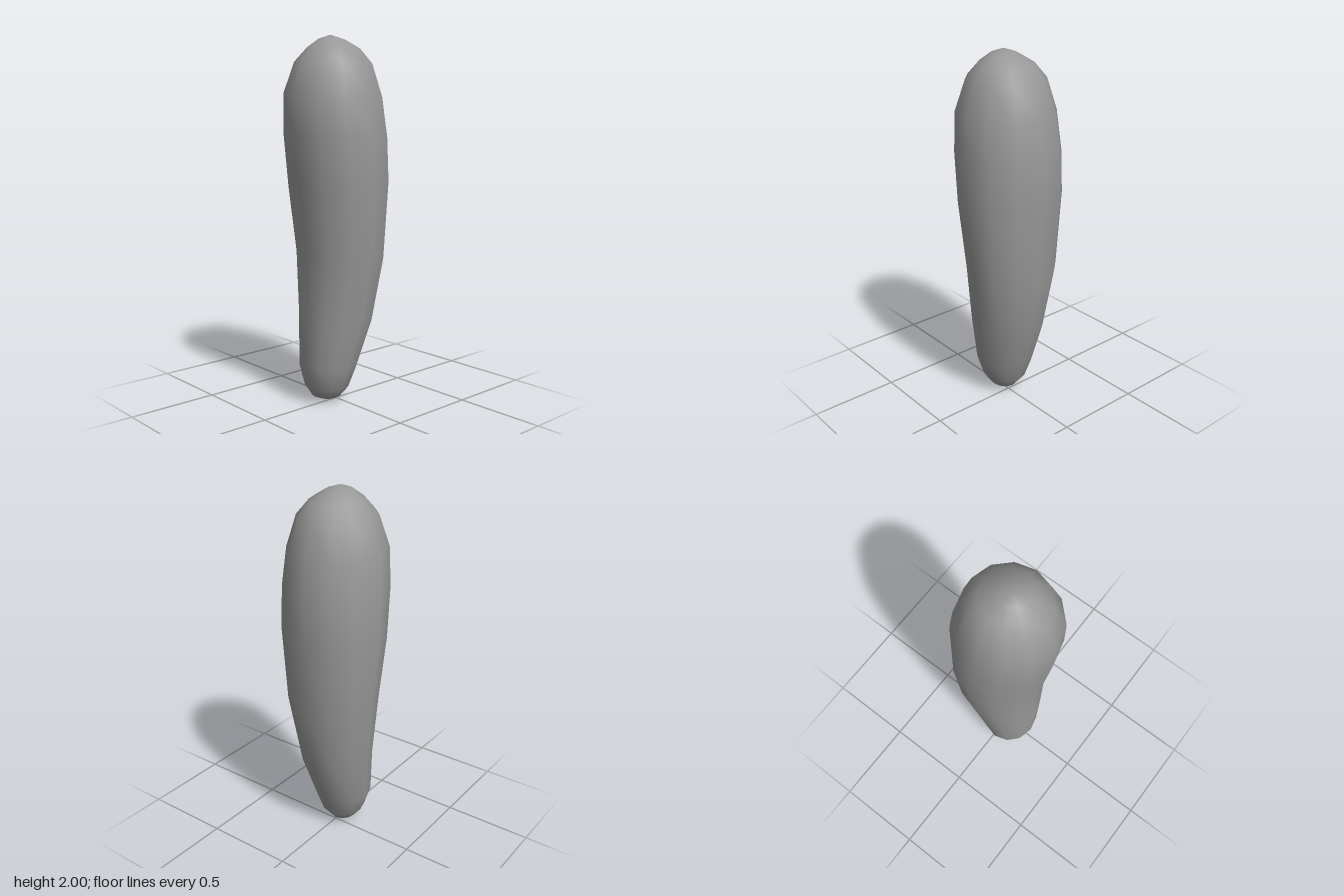
import * as THREE from 'three';

const SIDES = 12;

// Cross-sections, top to bottom: left x, left y, right x, right y, half depth, z centre
const RINGS = [
  [-0.10, 1.98, 0.04, 1.975, 0.07, 0],
  [-0.16, 1.935, 0.13, 1.925, 0.145, 0],
  [-0.23, 1.86, 0.20, 1.845, 0.21, 0],
  [-0.288, 1.70, 0.255, 1.67, 0.265, 0],
  [-0.285, 1.49, 0.285, 1.46, 0.285, 0],
  [-0.25, 1.20, 0.285, 1.24, 0.29, 0],
  [-0.205, 0.85, 0.26, 0.80, 0.258, 0],
  [-0.205, 0.50, 0.20, 0.46, 0.21, 0],
  [-0.205, 0.22, 0.11, 0.20, 0.168, -0.015],
  [-0.18, 0.10, 0.07, 0.085, 0.125, -0.015],
  [-0.14, 0.035, 0.02, 0.025, 0.075, -0.015],
];

// Smooth closed skin through the rings, with a point at each end
function loft(rings, top, bottom) {
  const pos = [...top];
  const index = [];
  for (const [xl, yl, xr, yr, depth, zc] of rings) {
    for (let i = 0; i < SIDES; i++) {
      const a = (i / SIDES) * Math.PI * 2;
      const t = (1 + Math.cos(a)) / 2;
      pos.push(xl + (xr - xl) * t, yl + (yr - yl) * t, zc + depth * Math.sin(a));
    }
  }
  pos.push(...bottom);
  const end = pos.length / 3 - 1;
  const at = (r, i) => 1 + r * SIDES + (i % SIDES);
  for (let i = 0; i < SIDES; i++) {
    index.push(0, at(0, i + 1), at(0, i));
    for (let r = 0; r < rings.length - 1; r++) {
      index.push(at(r, i), at(r, i + 1), at(r + 1, i));
      index.push(at(r, i + 1), at(r + 1, i + 1), at(r + 1, i));
    }
    index.push(end, at(rings.length - 1, i), at(rings.length - 1, i + 1));
  }
  const geo = new THREE.BufferGeometry();
  geo.setAttribute('position', new THREE.Float32BufferAttribute(pos, 3));
  geo.setIndex(index);
  geo.computeVertexNormals();
  return geo;
}

export function createModel() {
  const group = new THREE.Group();
  group.name = 'taperedPod';
  const body = new THREE.Mesh(
    loft(RINGS, [-0.04, 2, 0], [-0.055, 0, -0.01]),
    new THREE.MeshStandardMaterial({ color: 0x989898 })
  );
  body.name = 'body';
  group.add(body);
  return group;
}
